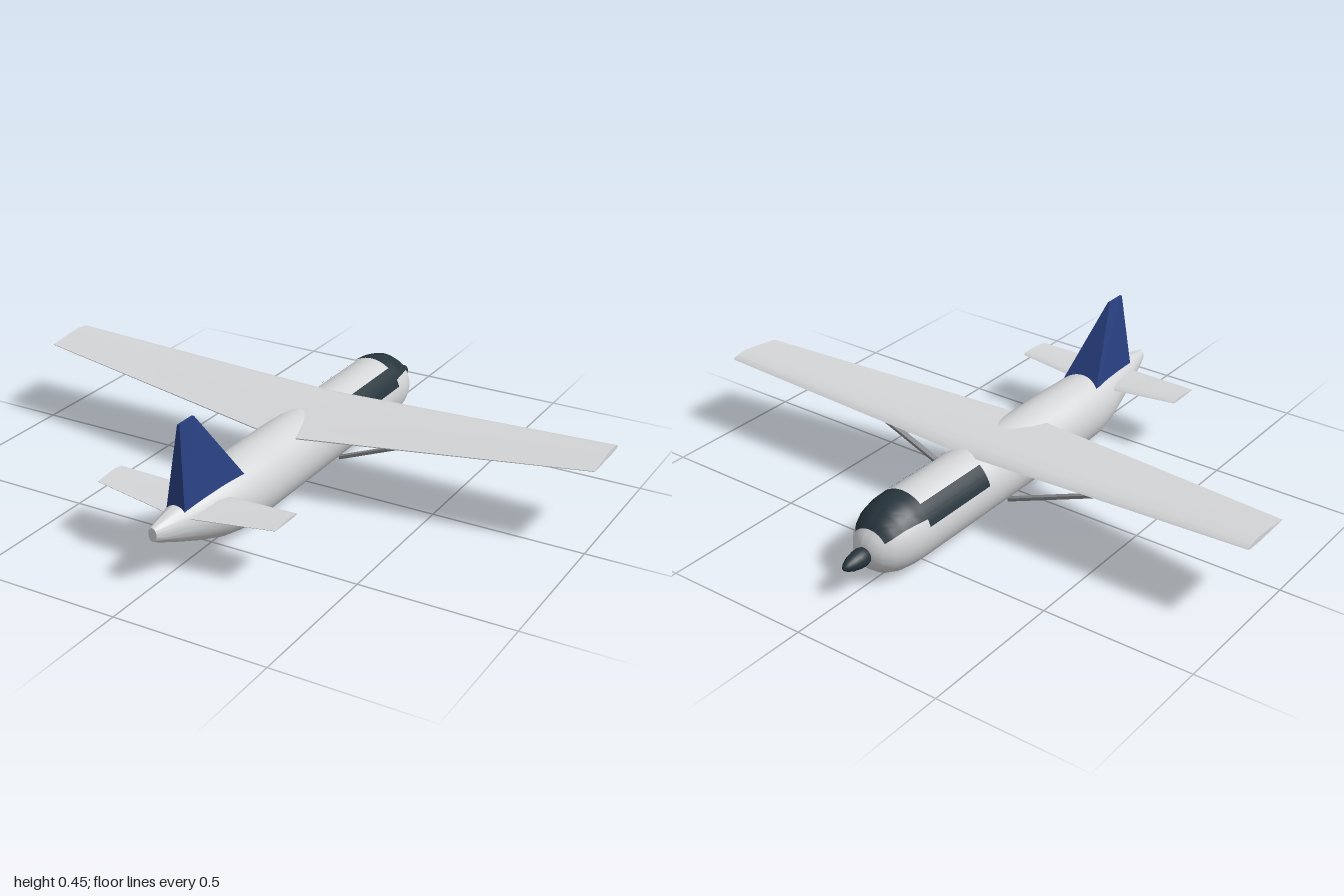
import * as THREE from 'three';
import { toCreasedNormals } from 'three/addons/utils/BufferGeometryUtils.js';

const material = (name, color) => {
  const m = new THREE.MeshStandardMaterial({ color });
  m.name = name;
  return m;
};

// Fuselage stations: z, half width, bottom, top
const stations = [
  [-0.71, 0.015, 0.09, 0.125], [-0.705, 0.035, 0.07, 0.145], [-0.69, 0.06, 0.048, 0.167],
  [-0.66, 0.085, 0.024, 0.197], [-0.62, 0.1, 0.009, 0.222], [-0.57, 0.109, 0.002, 0.234],
  [-0.52, 0.11, 0, 0.236], [0.3, 0.11, 0, 0.236], [0.42, 0.106, 0.004, 0.235],
  [0.5, 0.094, 0.02, 0.228], [0.6, 0.07, 0.055, 0.216], [0.7, 0.043, 0.096, 0.202],
  [0.77, 0.025, 0.127, 0.192], [0.8, 0.014, 0.142, 0.186],
];

// Point on the fuselage skin; the angle runs from the top towards +x
function skin(z, angle, offset = 0) {
  let i = 0;
  while (i < stations.length - 2 && stations[i + 1][0] < z) i++;
  const a = stations[i], b = stations[i + 1];
  const t = (z - a[0]) / (b[0] - a[0]);
  const [rx, bottom, top] = [1, 2, 3].map((k) => a[k] + (b[k] - a[k]) * t);
  return [
    (rx + offset) * Math.sin(angle),
    (bottom + top) / 2 + ((top - bottom) / 2 + offset) * Math.cos(angle),
    z,
  ];
}

function fromTriangles(positions, crease) {
  const g = new THREE.BufferGeometry();
  g.setAttribute('position', new THREE.Float32BufferAttribute(positions, 3));
  return toCreasedNormals(g, crease);
}

// Capped solid through rings that run anticlockwise seen from the far end
function loft(rings, crease = 0.6) {
  const out = [];
  const n = rings[0].length;
  for (let i = 0; i < rings.length - 1; i++) {
    for (let j = 0; j < n; j++) {
      const k = (j + 1) % n;
      const a = rings[i][j], b = rings[i][k], c = rings[i + 1][j], d = rings[i + 1][k];
      out.push(...a, ...b, ...d, ...a, ...d, ...c);
    }
  }
  const first = rings[0], last = rings[rings.length - 1];
  for (let j = 1; j < n - 1; j++) {
    out.push(...first[0], ...first[j + 1], ...first[j]);
    out.push(...last[0], ...last[j], ...last[j + 1]);
  }
  return fromTriangles(out, crease);
}

// Thin glass panel that follows the skin; angles(t) gives its two side edges
function panel(z0, z1, angles, nz = 16, na = 20) {
  const out = [];
  const at = (i, j) => {
    const t = i / nz;
    const [a0, a1] = angles(t);
    return skin(z0 + (z1 - z0) * t, a0 + ((a1 - a0) * j) / na, 0.0035);
  };
  for (let i = 0; i < nz; i++) {
    for (let j = 0; j < na; j++) {
      const a = at(i, j), b = at(i + 1, j), c = at(i, j + 1), d = at(i + 1, j + 1);
      out.push(...a, ...b, ...c, ...b, ...d, ...c);
    }
  }
  return fromTriangles(out, 0.6);
}

// Aerofoil outline: chord fraction, height as a fraction of thickness
const aerofoil = [
  [0, 0], [0.03, 0.35], [0.12, 0.75], [0.3, 1], [0.55, 0.75], [0.8, 0.35], [1, 0.06],
  [1, -0.06], [0.6, -0.25], [0.3, -0.35], [0.08, -0.25],
];

// Full span surface from the root and tip sections
function wing(halfSpan, root, tip) {
  const ring = (x, s) => aerofoil.map(([t, h]) => [
    x, s.yLead + (s.yTrail - s.yLead) * t + h * s.thick, s.lead + (s.trail - s.lead) * t,
  ]);
  return loft([ring(-halfSpan, tip), ring(0, root), ring(halfSpan, tip)]);
}

export function createModel() {
  const body = material('body light grey', 0xd4d5d7);
  const blue = material('fin blue', 0x283f80);
  const dark = material('glass dark', 0x26343c);
  const grey = material('strut grey', 0x86888b);

  const model = new THREE.Group();
  model.name = 'aeroplane';
  const add = (name, geometry, mat, parent = model) => {
    const mesh = new THREE.Mesh(geometry, mat);
    mesh.name = name;
    parent.add(mesh);
    return mesh;
  };

  // Fuselage
  const sides = 48;
  add('fuselage', loft(stations.map(([z]) =>
    Array.from({ length: sides }, (_, j) => skin(z, -(j / sides) * Math.PI * 2))), 0.8), body);

  // Cockpit glass
  add('windscreen', panel(-0.68, -0.525, (t) => {
    const edge = 0.92 + 0.14 * t;
    return [-edge, edge];
  }), dark);
  for (const side of [1, -1]) {
    const edges = side > 0 ? [0.63, 1.27] : [-1.27, -0.63];
    add(side > 0 ? 'leftWindow' : 'rightWindow', panel(-0.53, -0.237, () => edges), dark);
  }

  // Main wing and tailplane
  add('wing', wing(1,
    { lead: -0.23, trail: 0.13, yLead: 0.224, yTrail: 0.203, thick: 0.03 },
    { lead: -0.23, trail: -0.03, yLead: 0.262, yTrail: 0.26, thick: 0.014 }), body);
  add('tailplane', wing(0.31,
    { lead: 0.495, trail: 0.68, yLead: 0.166, yTrail: 0.166, thick: 0.014 },
    { lead: 0.517, trail: 0.64, yLead: 0.186, yTrail: 0.186, thick: 0.008 }), body);

  // Fin: wide at the base, almost sharp at the top
  const finRing = (y, front, frontHalf, rear, rearHalf) => [
    [rearHalf, y, rear], [frontHalf, y, front], [-frontHalf, y, front], [-rearHalf, y, rear],
  ];
  add('fin', loft([
    finRing(0.17, 0.387, 0.077, 0.684, 0.034),
    finRing(0.45, 0.58, 0.004, 0.655, 0.004),
  ], 0.1), blue);

  // Wing struts
  for (const side of [1, -1]) {
    const strut = add(side > 0 ? 'leftStrut' : 'rightStrut',
      new THREE.BoxGeometry(0.485, 0.01, 0.02), grey);
    strut.position.set(side * 0.325, 0.14, -0.125);
    strut.rotation.z = side * Math.atan2(0.18, 0.45);
  }

  // Spinner
  const profile = [[0, 0], [0.024, 0], [0.03, 0.02], [0.029, 0.04], [0.024, 0.065],
    [0.016, 0.085], [0.008, 0.097], [0, 0.1]].map(([r, h]) => new THREE.Vector2(r, h));
  const spinner = add('spinner', new THREE.LatheGeometry(profile, 24), dark);
  spinner.rotation.x = -Math.PI / 2;
  spinner.position.set(0, 0.106, -0.7);

  return model;
}
